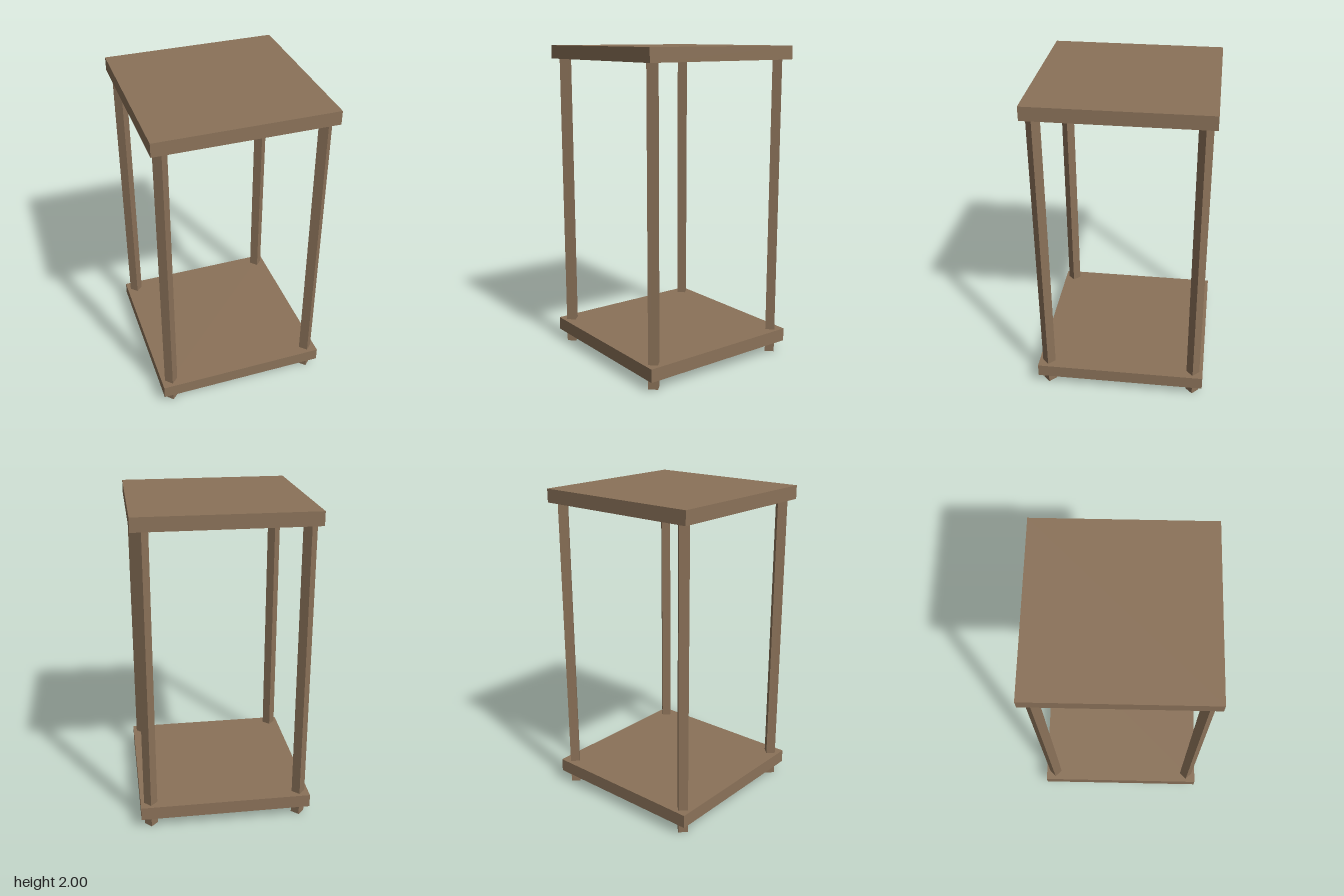
import * as THREE from 'three';

export function createModel() {
  const group = new THREE.Group();
  group.name = 'sideTable';
  const wood = new THREE.MeshStandardMaterial({ color: 0x8b7259 });
  wood.name = 'brown wood';

  // Square top and lower shelf
  const boardGeometry = new THREE.BoxGeometry(1.084, 0.084, 1.084);
  for (const [name, y] of [['tableTop', 1.958], ['lowerShelf', 0.112]]) {
    const board = new THREE.Mesh(boardGeometry, wood);
    board.name = name;
    board.position.y = y;
    group.add(board);
  }

  // Four-sided legs, standing corner-on and passing through the shelf
  const legHeight = 1.916;
  const legGeometry = new THREE.CylinderGeometry(0.042, 0.042, legHeight, 4).toNonIndexed();
  legGeometry.computeVertexNormals();
  for (const [side, x] of [['Left', 0.478], ['Right', -0.478]]) {
    for (const [end, z] of [['front', 0.478], ['back', -0.478]]) {
      const leg = new THREE.Mesh(legGeometry, wood);
      leg.name = `${end}${side}Leg`;
      leg.position.set(x, legHeight / 2, z);
      group.add(leg);
    }
  }
  return group;
}
